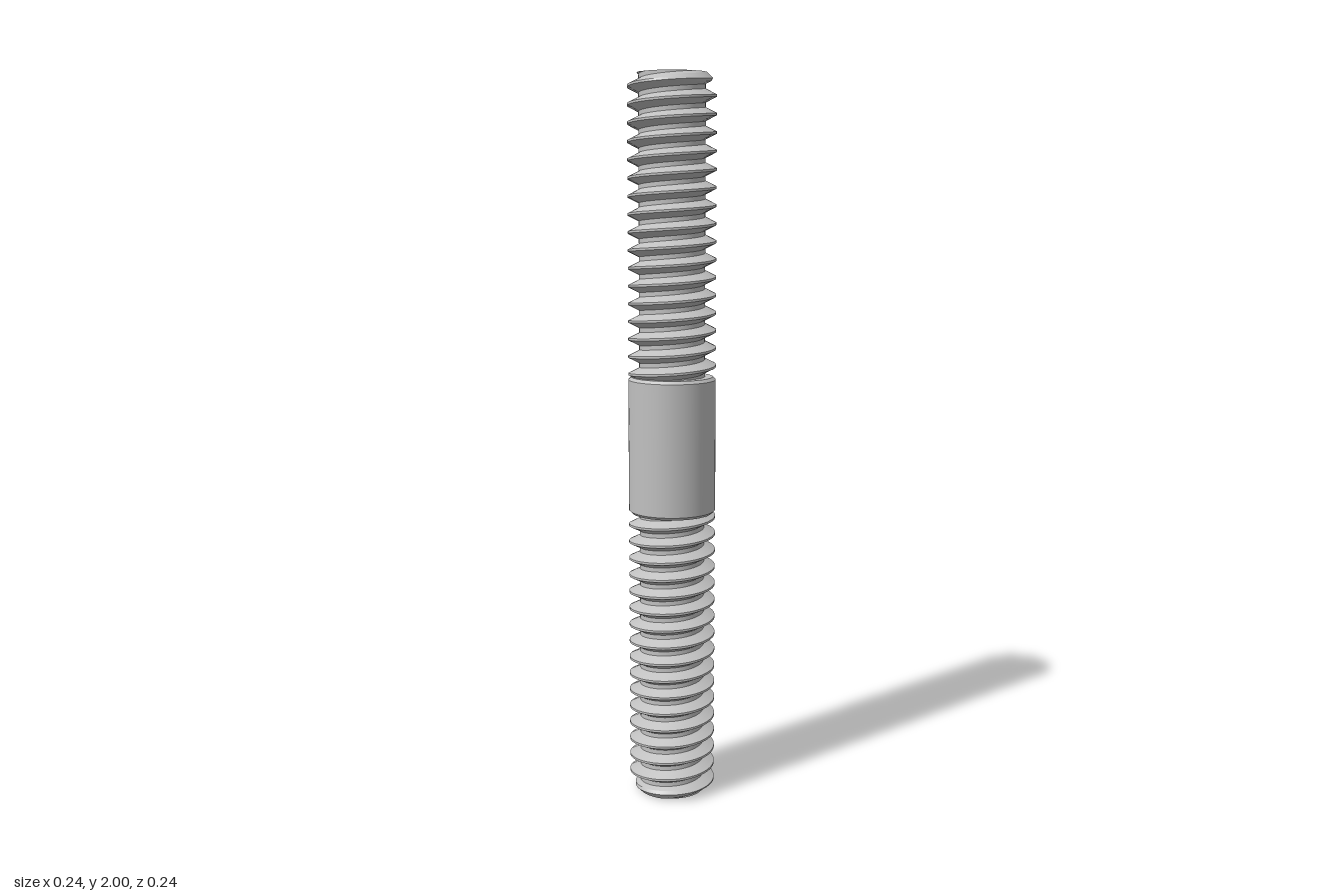
import * as THREE from 'three';

const CREST = 0.12, ROOT = 0.09, PITCH = 0.048, SIDES = 48;

// Thread profile over one pitch: [fraction of pitch, radius]
const PROFILE = [
  [0, ROOT], [0.25, ROOT], [0.4, 0.1044], [0.5625, CREST],
  [0.6875, CREST], [0.85, 0.1044], [1, ROOT],
];

// Right-handed helical ribbons, trimmed to y0..y1; the outer end is chamfered
function threadGeometry(y0, y1, outerEnd) {
  const positions = [], index = [];
  const steps = Math.ceil((y1 - y0) / PITCH + 2) * SIDES;

  const radiusAt = (y) => {
    const f = ((y % 1) + 1) % 1;
    const i = PROFILE.findIndex((p, k) => k > 0 && f <= p[0]);
    const [a, ra] = PROFILE[i - 1], [b, rb] = PROFILE[i];
    return THREE.MathUtils.lerp(ra, rb, (f - a) / (b - a));
  };

  for (let s = 0; s < PROFILE.length - 1; s++) {
    const start = positions.length / 3;
    for (let j = 0; j <= steps; j++) {
      const turn = j / SIDES, angle = turn * Math.PI * 2;
      for (const [f, profileRadius] of [PROFILE[s], PROFILE[s + 1]]) {
        const raw = y0 + (turn - 1 + f) * PITCH;
        const y = THREE.MathUtils.clamp(raw, y0, y1);
        let r = y === raw ? profileRadius : radiusAt((y - y0) / PITCH - turn);
        r = Math.min(r, ROOT + 0.004 + Math.abs(outerEnd - y) * 1.0);
        positions.push(r * Math.cos(angle), y, -r * Math.sin(angle));
      }
      if (j < steps) {
        const a = start + j * 2;
        index.push(a, a + 2, a + 1, a + 1, a + 2, a + 3);
      }
    }
  }
  const geometry = new THREE.BufferGeometry();
  geometry.setAttribute('position', new THREE.Float32BufferAttribute(positions, 3));
  geometry.setIndex(index);
  geometry.computeVertexNormals();
  return geometry;
}

export function createModel() {
  const group = new THREE.Group();
  const steel = new THREE.MeshStandardMaterial({ color: 0xc0c0c0 });
  steel.name = 'steel grey';

  const add = (name, geometry, y = 0) => {
    const mesh = new THREE.Mesh(geometry, steel);
    mesh.name = name;
    mesh.position.y = y;
    group.add(mesh);
  };

  // Solid core whose ends are the flat faces of the stud
  add('core', new THREE.CylinderGeometry(ROOT, ROOT, 2, SIDES), 1);

  // Threaded ends
  add('upperThread', threadGeometry(1.19, 2, 2));
  add('lowerThread', threadGeometry(0, 0.81, 0));

  // Plain middle with narrow chamfers
  const bevel = 0.008, half = 0.19;
  add('shank', new THREE.CylinderGeometry(CREST, CREST, 2 * (half - bevel), 64, 1, true), 1);
  add('shankTopBevel', new THREE.CylinderGeometry(CREST - bevel, CREST, bevel, 64), 1 + half - bevel / 2);
  add('shankBottomBevel', new THREE.CylinderGeometry(CREST, CREST - bevel, bevel, 64), 1 - half + bevel / 2);

  return group;
}
